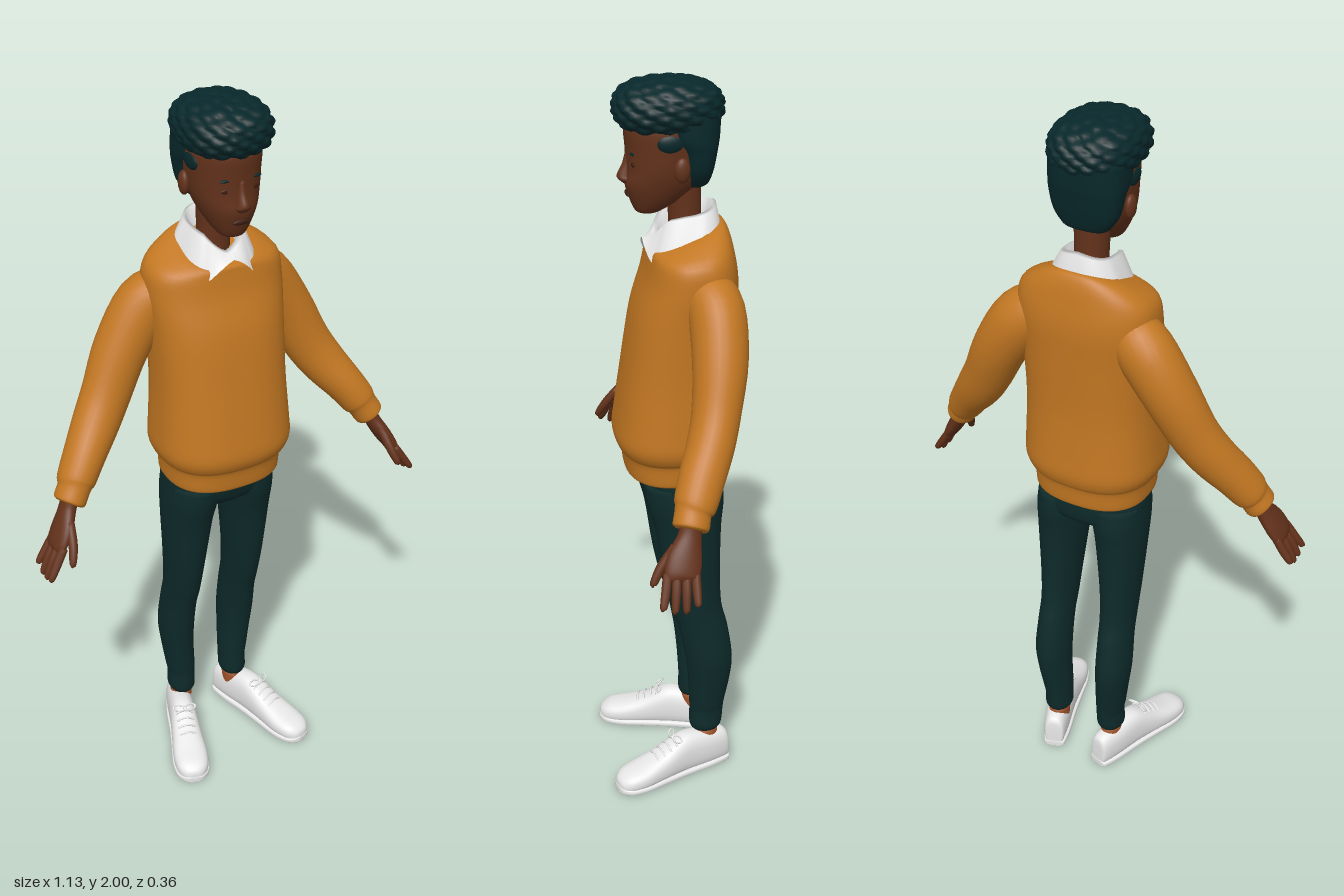
import * as THREE from 'three';
import { mergeGeometries } from 'three/addons/utils/BufferGeometryUtils.js';

const mat = (name, color, side = THREE.FrontSide) => {
  const m = new THREE.MeshStandardMaterial({ color, side });
  m.name = name;
  return m;
};
const V = (x, y, z) => new THREE.Vector3(x, y, z);

// Smooth closed skin through sections [x, y, z, radiusU, radiusV, tilt].
// axis: fixed section direction, or null to follow the path.
function loft(sections, { axis = null, ref = V(1, 0, 0), power = 2, sides = 28, steps = 4, floor = -1 } = {}) {
  const path = new THREE.CatmullRomCurve3(sections.map(s => V(s[0], s[1], s[2])), false, 'catmullrom', 0.5);
  const radii = new THREE.CatmullRomCurve3(sections.map(s => V(s[3], s[4], s[5] || 0)), false, 'catmullrom', 0.5);
  const rows = (sections.length - 1) * steps, pos = [], idx = [];
  const sp = v => Math.sign(v) * Math.abs(v) ** (2 / power);
  for (let i = 0; i <= rows; i++) {
    const t = i / rows, c = path.getPoint(t), r = radii.getPoint(t);
    const d = axis || path.getTangent(t);
    const u = ref.clone().addScaledVector(d, -ref.dot(d)).normalize();
    const v = d.clone().cross(u);
    for (let j = 0; j < sides; j++) {
      const a = j / sides * Math.PI * 2, q = sp(Math.sin(a)) * r.y;
      const p = c.clone().addScaledVector(u, sp(Math.cos(a)) * r.x).addScaledVector(v, q).addScaledVector(d, q * r.z);
      pos.push(p.x, Math.max(p.y, floor), p.z);
      const k = (j + 1) % sides, A = i * sides + j, B = i * sides + k;
      if (i < rows) idx.push(A, B, A + sides, B, B + sides, A + sides);
    }
  }
  for (const row of [0, rows]) {
    const c = path.getPoint(row / rows), n = pos.length / 3;
    pos.push(c.x, c.y, c.z);
    for (let j = 0; j < sides; j++) {
      const A = row * sides + j, B = row * sides + (j + 1) % sides;
      idx.push(...(row ? [A, B, n] : [B, A, n]));
    }
  }
  const g = new THREE.BufferGeometry();
  g.setAttribute('position', new THREE.Float32BufferAttribute(pos, 3));
  g.setIndex(idx);
  g.computeVertexNormals();
  return g;
}
// Upright part from rows [y, x, z, radiusX, radiusZ, tilt]
const upright = (rows, opts = {}) =>
  loft(rows.map(([y, x, z, rx, rz, k]) => [x, y, z, rx, rz, k]), { axis: V(0, 1, 0), ...opts });

const blob = (x, y, z, rx, ry, rz) => new THREE.SphereGeometry(1, 20, 14).scale(rx, ry, rz).translate(x, y, z);

function mirrored(g) {
  const m = g.clone().scale(-1, 1, 1), ix = m.index.array;
  for (let i = 0; i < ix.length; i += 3) [ix[i], ix[i + 1]] = [ix[i + 1], ix[i]];
  return m;
}

// Curly top: a boxy ellipsoid raised into round tufts
function curlyTop() {
  const g = new THREE.SphereGeometry(1, 72, 52), p = g.attributes.position, tufts = [];
  for (let i = 0; i < 130; i++) {
    const y = 1 - 2 * (i + 0.5) / 130, a = i * 2.39996, r = Math.sqrt(1 - y * y);
    tufts.push(V(r * Math.cos(a), y, r * Math.sin(a)));
  }
  for (let i = 0; i < p.count; i++) {
    const n = V().fromBufferAttribute(p, i);
    const near = Math.min(...tufts.map(t => t.distanceToSquared(n)));
    const box = (Math.abs(n.x) ** 2.4 + Math.abs(n.y) ** 2.4 + Math.abs(n.z) ** 2.4) ** (-1 / 2.4);
    n.multiplyScalar(box * (1.01 - 2.2 * Math.min(near, 0.05)));
    p.setXYZ(i, n.x * 0.115, n.y * 0.072 + 1.928, n.z * 0.14 + 0.003);
  }
  g.computeVertexNormals();
  return g;
}

// Folded shirt collar: inner band, top fold, outer flap with two points
function collarGeometry() {
  const pos = [], idx = [], N = 64, rows = 4;
  const sp = v => Math.sign(v) * Math.abs(v) ** 0.75;
  for (let j = 0; j < N; j++) {
    const a = j / N * Math.PI * 2, s = sp(Math.sin(a)), c = sp(Math.cos(a));
    const f = Math.min(a, Math.PI * 2 - a);
    const top = f < 0.9 ? 1.608 + 0.048 * f / 0.9 : 1.656 + 0.034 * (f - 0.9) / 2.24;
    const low = f < 0.65 ? 1.6 - 0.052 * f / 0.65 : 1.548 + 0.077 * Math.min(1, (f - 0.65) / 1.3);
    pos.push(0.05 * s, top - 0.05, -0.04 + 0.055 * c);
    pos.push(0.06 * s, top, -0.042 + 0.066 * c);
    pos.push(0.068 * s, top - 0.004, -0.04 + 0.078 * c);
    pos.push(0.093 * s, low, -0.03 + 0.1 * c);
    const k = (j + 1) % N;
    for (let r = 0; r < rows - 1; r++) {
      const A = j * rows + r, B = k * rows + r;
      idx.push(A, A + 1, B, B, A + 1, B + 1);
    }
  }
  const g = new THREE.BufferGeometry();
  g.setAttribute('position', new THREE.Float32BufferAttribute(pos, 3));
  g.setIndex(idx);
  g.computeVertexNormals();
  return g;
}

export function createModel() {
  const model = new THREE.Group();
  model.name = 'standingMan';
  const skin = mat('skin', 0x63321b), wool = mat('orangeWool', 0xc27722), denim = mat('darkTrousers', 0x0e2a2a);
  const hair = mat('hair', 0x08282b), white = mat('white', 0xe9e9e9, THREE.DoubleSide);
  const sock = mat('sock', 0xa4552a), shade = mat('darkFeatures', 0x3d1d12);
  const add = (name, g, m) => {
    const mesh = new THREE.Mesh(g, m);
    mesh.name = name;
    model.add(mesh);
  };
  const pair = (name, g, m) => {
    add(name + 'Left', g, m);
    add(name + 'Right', mirrored(g), m);
  };

  // Sweater body with ribbed hem and sloped neckline
  add('sweater', upright([
    [0.955, 0, -0.015, 0.155, 0.133], [0.965, 0, -0.015, 0.16, 0.138], [1.015, 0, -0.014, 0.163, 0.143],
    [1.03, 0, -0.013, 0.176, 0.154], [1.065, 0, -0.012, 0.188, 0.163], [1.13, 0, -0.014, 0.185, 0.157],
    [1.25, 0, -0.02, 0.179, 0.145], [1.4, 0, -0.034, 0.182, 0.134], [1.5, 0, -0.05, 0.188, 0.12, 0.03],
    [1.565, 0, -0.05, 0.178, 0.108, 0.12], [1.598, 0, -0.045, 0.13, 0.1, 0.28],
    [1.61, 0, -0.04, 0.085, 0.088, 0.38], [1.608, 0, -0.04, 0.06, 0.06, 0.38],
  ], { power: 2.5, sides: 48 }), wool);

  // Sleeves
  pair('sleeve', loft([
    [0.11, 1.5, -0.065, 0.06, 0.065], [0.172, 1.455, -0.088, 0.077, 0.072], [0.243, 1.35, -0.085, 0.073, 0.07],
    [0.3, 1.24, -0.065, 0.067, 0.062], [0.345, 1.17, -0.042, 0.063, 0.06], [0.395, 1.105, -0.01, 0.055, 0.058],
    [0.43, 1.055, 0.012, 0.05, 0.054], [0.441, 1.038, 0.02, 0.043, 0.046], [0.458, 1.01, 0.028, 0.042, 0.046],
    [0.462, 1.004, 0.03, 0.034, 0.038],
  ], { ref: V(1, 0.5, 0) }), wool);

  // Hands: palm, four fingers, thumb
  const hand = [loft([
    [0.452, 1.03, 0.025, 0.022, 0.028], [0.468, 0.99, 0.033, 0.021, 0.03], [0.493, 0.945, 0.05, 0.021, 0.044],
    [0.514, 0.91, 0.06, 0.017, 0.044], [0.522, 0.897, 0.062, 0.008, 0.036],
  ], { ref: V(1, 0.5, 0) })];
  const finger = (a, b, c, r) => hand.push(loft([[...a, r, r], [...b, r, r], [...c, r * 0.75, r * 0.75],
    [c[0] + 0.003, c[1] - 0.005, c[2], r * 0.2, r * 0.2]], { sides: 10 }));
  [[0.026, 0.028, 0.848], [0.049, 0.056, 0.834], [0.072, 0.084, 0.836], [0.095, 0.113, 0.846]].forEach(([z0, z1, y]) =>
    finger([0.51, 0.915, z0], [0.535, 0.876, (z0 + z1) / 2], [0.555, y, z1], 0.0115));
  finger([0.478, 0.97, 0.07], [0.487, 0.925, 0.105], [0.5, 0.885, 0.128], 0.0125);
  pair('hand', mergeGeometries(hand), skin);

  // Trousers
  add('trouserSeat', upright([
    [0.865, 0, -0.03, 0.1, 0.075], [0.89, 0, -0.03, 0.145, 0.1], [0.93, 0, -0.026, 0.157, 0.11], [0.98, 0, -0.02, 0.152, 0.112],
  ], { power: 2.4, sides: 40 }), denim);
  pair('trouserLeg', upright([
    [0.128, 0.088, -0.092, 0.034, 0.04], [0.145, 0.088, -0.093, 0.04, 0.047], [0.19, 0.087, -0.095, 0.039, 0.049],
    [0.22, 0.089, -0.096, 0.042, 0.051], [0.3, 0.095, -0.1, 0.046, 0.06], [0.38, 0.099, -0.098, 0.05, 0.067],
    [0.48, 0.097, -0.081, 0.048, 0.069], [0.55, 0.095, -0.062, 0.049, 0.071], [0.65, 0.094, -0.048, 0.055, 0.079],
    [0.8, 0.09, -0.037, 0.068, 0.091], [0.88, 0.085, -0.03, 0.075, 0.105], [0.94, 0.08, -0.025, 0.076, 0.106],
  ]), denim);
  pair('sock', upright([[0.06, 0.092, -0.092, 0.03, 0.036], [0.135, 0.088, -0.092, 0.031, 0.037]]), sock);

  // Shoes: upper, sole and laces, turned outwards
  const place = g => g.rotateY(0.315).translate(0.128, 0, 0.005);
  const shoeRows = [ // z, height, half width
    [-0.17, 0.07, 0.018], [-0.162, 0.105, 0.03], [-0.11, 0.118, 0.037], [-0.05, 0.128, 0.039], [-0.01, 0.122, 0.041],
    [0.05, 0.09, 0.046], [0.11, 0.068, 0.051], [0.155, 0.056, 0.045], [0.178, 0.042, 0.028], [0.185, 0.03, 0.012],
  ];
  const along = { axis: V(0, 0, 1), power: 2.5, floor: 0 };
  pair('shoe', place(loft(shoeRows.map(([z, h, w]) => [0, h / 2, z, w, h / 2]), along)), white);
  pair('shoeSole', place(loft(shoeRows.map(([z, , w]) => [0, 0.01, z * 1.01, w * 1.06, 0.01]), { ...along, power: 4 })), white);
  const laces = [-1, 1].map(s => new THREE.TorusGeometry(0.013, 0.0028, 6, 16).scale(1.3, 0.7, 1)
    .rotateX(-0.9).rotateY(s * 0.3).translate(s * 0.017, 0.127, 0.002));
  for (let i = 0; i < 4; i++) {
    const z = 0.005 + i * 0.02, y = 0.12 - i * 0.0105;
    laces.push(new THREE.TubeGeometry(new THREE.QuadraticBezierCurve3(
      V(-0.026, y - 0.012, z), V(0, y + 0.012, z + 0.004), V(0.026, y - 0.012, z)), 10, 0.003, 6));
  }
  pair('laces', place(mergeGeometries(laces)), white);

  // Neck, collar and head
  add('neck', upright([[1.56, 0, -0.045, 0.046, 0.046], [1.65, 0, -0.04, 0.043, 0.042], [1.78, 0, -0.035, 0.048, 0.046]]), skin);
  add('collar', collarGeometry(), white);
  add('head', upright([
    [1.664, 0, 0.058, 0.016, 0.014], [1.672, 0, 0.053, 0.034, 0.034], [1.7, 0, 0.036, 0.054, 0.064],
    [1.74, 0, 0.018, 0.073, 0.094], [1.78, 0, 0.008, 0.085, 0.1], [1.83, 0, 0.002, 0.09, 0.108],
    [1.88, 0, 0, 0.092, 0.113], [1.93, 0, 0, 0.08, 0.1],
  ], { power: 2.15, sides: 36 }), skin);
  add('nose', upright([
    [1.742, 0, 0.108, 0.012, 0.008], [1.752, 0, 0.11, 0.02, 0.018], [1.764, 0, 0.11, 0.016, 0.021],
    [1.79, 0, 0.104, 0.011, 0.014], [1.82, 0, 0.1, 0.009, 0.01],
  ], { sides: 16 }), skin);
  pair('ear', blob(0.093, 1.79, -0.012, 0.013, 0.031, 0.02).rotateY(0.05), skin);
  pair('eye', blob(0.036, 1.796, 0.0965, 0.015, 0.007, 0.004), shade);
  pair('eyebrow', blob(0.037, 1.823, 0.0985, 0.02, 0.004, 0.005), hair);
  add('lips', blob(0, 1.715, 0.106, 0.024, 0.007, 0.005), shade);

  // Hair: close-cut back and sides, curly top
  add('hairBack', upright([
    [1.735, 0, -0.06, 0.052, 0.026], [1.745, 0, -0.062, 0.064, 0.036], [1.78, 0, -0.064, 0.086, 0.044],
    [1.83, 0, -0.062, 0.096, 0.055], [1.86, 0, -0.05, 0.1, 0.072], [1.92, 0, -0.04, 0.1, 0.085],
  ], { power: 2.6, sides: 36 }), hair);
  pair('sideburn', blob(0.083, 1.855, 0.01, 0.014, 0.025, 0.035), hair);
  add('hairTop', curlyTop(), hair);

  return model;
}
